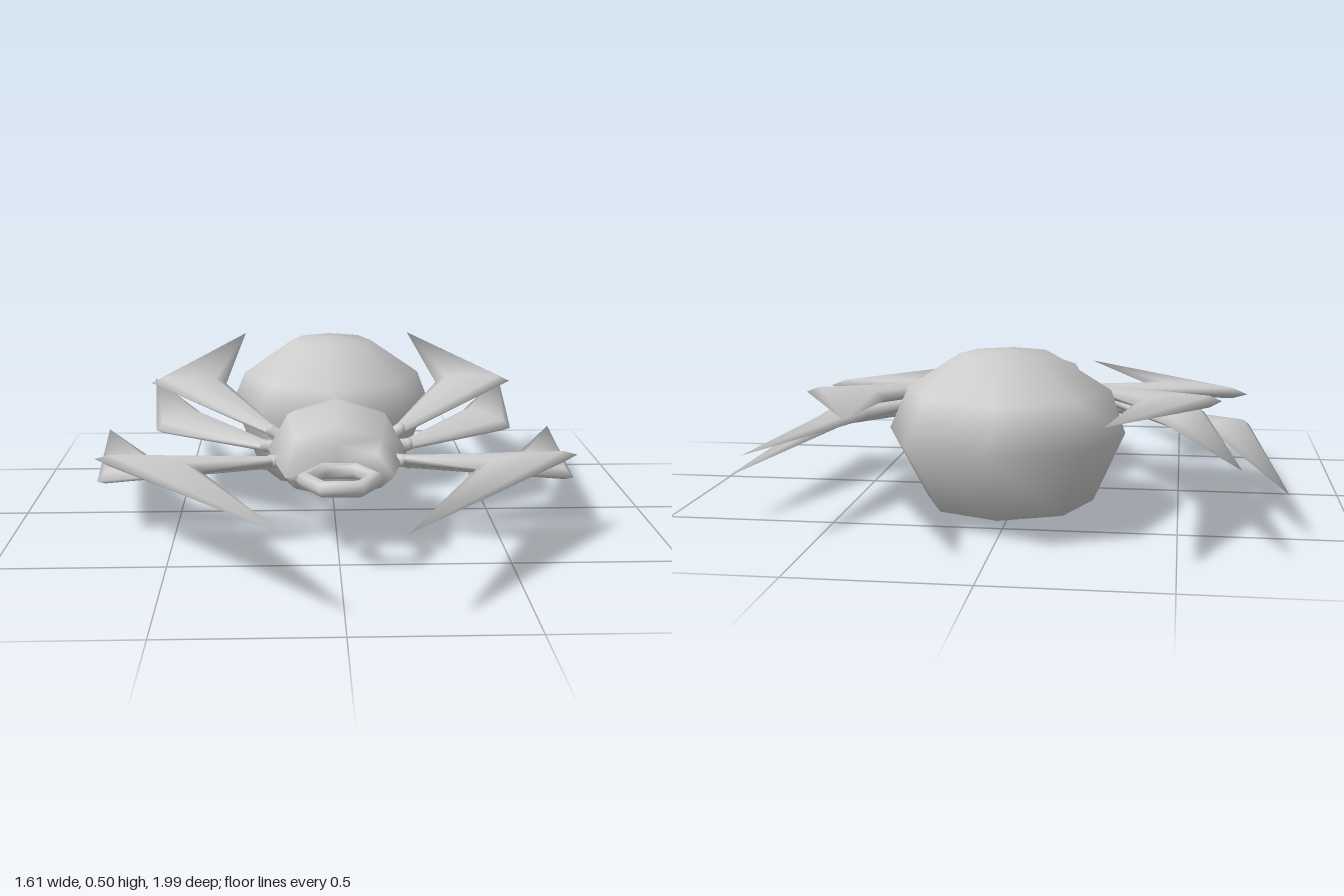
import * as THREE from 'three';
import { mergeVertices } from 'three/addons/utils/BufferGeometryUtils.js';

const V = (x, y, z) => new THREE.Vector3(x, y, z);
const TAU = Math.PI * 2;

// Skins closed rings of points; a ring collapsed to one point makes a pole.
function loft(rings) {
  const n = rings[0].length;
  const index = [];
  for (let i = 0; i < rings.length - 1; i++) {
    for (let j = 0; j < n; j++) {
      const a = i * n + j, b = i * n + (j + 1) % n;
      index.push(a, b, b + n, a, b + n, a + n);
    }
  }
  // Turn the faces outward whatever way the rings run.
  const pts = rings.flat();
  let volume = 0;
  for (let i = 0; i < index.length; i += 3) {
    volume += pts[index[i]].dot(pts[index[i + 1]].clone().cross(pts[index[i + 2]]));
  }
  if (volume < 0) index.reverse();
  const geometry = new THREE.BufferGeometry().setFromPoints(pts);
  geometry.setIndex(index);
  const merged = mergeVertices(geometry, 1e-5);
  merged.computeVertexNormals();
  return merged;
}

function ring(n, fn) {
  return Array.from({ length: n }, (_, i) => fn(Math.cos(i / n * TAU), Math.sin(i / n * TAU)));
}

export function createModel() {
  const model = new THREE.Group();
  const material = new THREE.MeshStandardMaterial({ color: 0xcccccc });
  const add = (name, geometry, parent = model) => {
    const mesh = new THREE.Mesh(geometry, material);
    mesh.name = name;
    parent.add(mesh);
    return mesh;
  };

  // Abdomen: horizontal eight-sided rings [y, half width, back z, front z]
  add('abdomen', loft([
    [0.003, 0, -0.345, -0.345],
    [0.055, 0.25, -0.60, -0.09],
    [0.275, 0.345, -0.795, -0.03],
    [0.39, 0.30, -0.66, -0.05],
    [0.495, 0.14, -0.53, -0.245],
    [0.508, 0, -0.39, -0.39],
  ].map(([y, w, back, front]) => ring(8, (c, s) =>
    V(w * c, y, (back + front) / 2 + (front - back) / 2 * s)))));

  // Head: upright rings [z, half width, half height, forward reach of the sides],
  // ending in a hollow face between two pointed cheeks
  add('head', loft([
    [0.03, 0, 0, 0],
    [0.03, 0.14, 0.09, 0],
    [0.06, 0.175, 0.125, 0],
    [0.20, 0.21, 0.155, 0],
    [0.36, 0.18, 0.108, 0.02],
    [0.385, 0.155, 0.06, 0.12],
    [0.37, 0, 0, 0],
  ].map(([z, w, h, reach]) => ring(8, (c, s) =>
    V(w * c, 0.27 + h * s, z + reach * c ** 4)))));

  // Neck
  const neck = add('neck', new THREE.SphereGeometry(1, 10, 8));
  neck.scale.set(0.1, 0.09, 0.065);
  neck.position.set(0, 0.275, 0.0);

  // Six-sided ring in front of the face
  const hoop = add('frontRing', new THREE.TorusGeometry(0.1, 0.024, 8, 6));
  hoop.rotation.x = Math.PI / 2;
  hoop.position.set(0, 0.27, 0.53);

  // Legs: thin hip, wide flat mitred elbow, sharp tip
  const legs = [
    { name: 'frontLeg', hip: [0.19, 0.27, 0.34], outer: [0.725, 0.27, 0.295], inner: [0.40, 0.27, 0.43], tip: [0.15, 0.27, 0.99] },
    { name: 'secondLeg', hip: [0.22, 0.235, 0.24], outer: [0.73, 0.18, 0.235], inner: [0.595, 0.2, 0.03], tip: [0.805, 0.14, -0.545] },
    { name: 'thirdLeg', hip: [0.22, 0.275, 0.18], outer: [0.575, 0.27, -0.03], inner: [0.45, 0.275, -0.25], tip: [0.66, 0.27, -0.81] },
    { name: 'rearLeg', hip: [0.20, 0.31, 0.13], outer: [0.62, 0.36, -0.33], inner: [0.365, 0.35, -0.36], tip: [0.32, 0.412, -0.995] },
  ];
  for (const side of [1, -1]) {
    for (const { name, ...points } of legs) {
      const { hip, outer, inner, tip } = Object.fromEntries(
        Object.entries(points).map(([k, [x, y, z]]) => [k, V(x * side, y, z)]));
      const group = new THREE.Group();
      group.name = (side > 0 ? 'left' : 'right') + name[0].toUpperCase() + name.slice(1);
      model.add(group);

      const up = V(0, 1, 0);
      const elbow = outer.clone().add(inner).multiplyScalar(0.5);
      const miter = outer.clone().sub(inner).multiplyScalar(0.5);
      const across = elbow.clone().sub(hip).cross(up).normalize();
      if (across.dot(miter) < 0) across.negate();
      across.multiplyScalar(0.018);
      const section = (centre, wide, thick) => ring(8, (c, s) =>
        centre.clone().addScaledVector(wide, c).addScaledVector(up, thick * s));
      add('blade', loft([
        section(hip, V(0, 0, 0), 0),
        section(hip, across, 0.018),
        section(elbow, miter, 0.025),
        section(tip, V(0, 0, 0), 0),
      ]), group);

      // Short stub joining the leg to the head
      const root = V(0.13 * side, 0.27, hip.z * 0.8 + 0.05);
      add('hipJoint', new THREE.TubeGeometry(new THREE.LineCurve3(root, hip), 1, 0.02, 8), group);
      add('hipBall', new THREE.SphereGeometry(0.02, 8, 6), group).position.copy(hip);
    }
  }
  return model;
}
